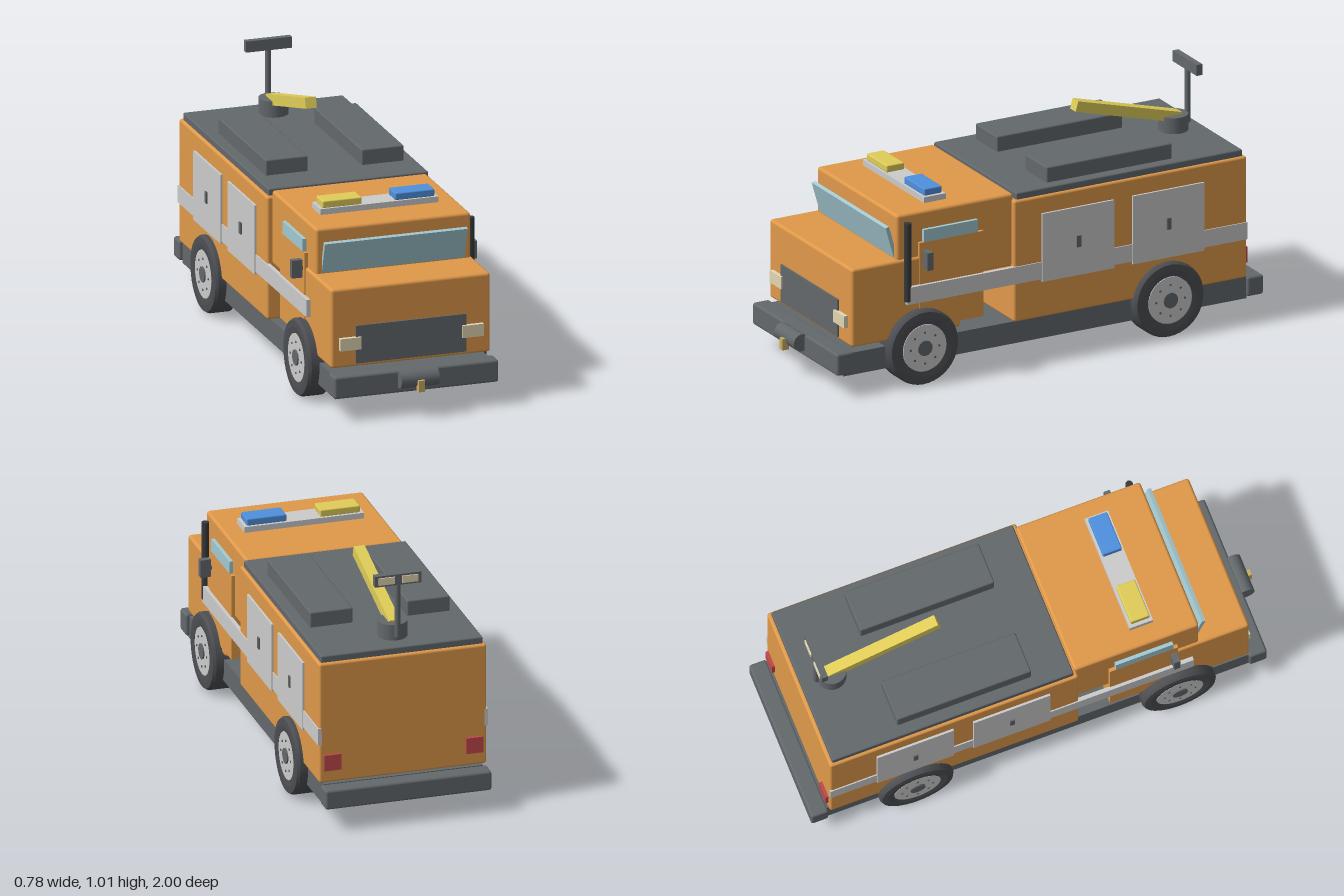
import * as THREE from 'three';
import { RoundedBoxGeometry } from 'three/addons/geometries/RoundedBoxGeometry.js';

const mat = (color) => new THREE.MeshStandardMaterial({ color });
const M = {
  orange: mat(0xe0994a), dark: mat(0x63686c), tyre: mat(0x4c4e52), black: mat(0x36383b),
  light: mat(0xcccccc), glass: mat(0xa3c9d1), blue: mat(0x4f90dd), yellow: mat(0xe0cd58),
  cream: mat(0xe2d7b4), brass: mat(0xc9ac62), red: mat(0xc0484a),
};

export function createModel() {
  const model = new THREE.Group();

  const add = (name, geometry, material, parent = model) => {
    const mesh = new THREE.Mesh(geometry, material);
    mesh.name = name;
    parent.add(mesh);
    return mesh;
  };

  // Box given by its extents on each axis; r rounds the edges
  const box = (name, material, [x0, x1], [y0, y1], [z0, z1], r = 0) => {
    const s = [x1 - x0, y1 - y0, z1 - z0];
    const g = r ? new RoundedBoxGeometry(...s, 2, r) : new THREE.BoxGeometry(...s);
    const mesh = add(name, g, material);
    mesh.position.set((x0 + x1) / 2, (y0 + y1) / 2, (z0 + z1) / 2);
    return mesh;
  };

  // The same box on both flanks
  const pair = (name, material, [x0, x1], y, z, r = 0) => {
    box(name + 'Left', material, [x0, x1], y, z, r);
    box(name + 'Right', material, [-x1, -x0], y, z, r);
  };

  const cylinder = (name, material, r, h, x, y, z, sides = 24) => {
    const mesh = add(name, new THREE.CylinderGeometry(r, r, h, sides), material);
    mesh.position.set(x, y, z);
    return mesh;
  };

  // Chassis and bumpers
  box('chassis', M.dark, [-0.33, 0.33], [0.085, 0.178], [-0.93, 0.9]);
  box('frontBumper', M.dark, [-0.345, 0.345], [0.095, 0.187], [0.862, 0.937], 0.01);
  box('rearBumper', M.dark, [-0.345, 0.345], [0.095, 0.177], [-1, -0.927], 0.01);

  // Winch drum and hook
  cylinder('winchDrum', M.dark, 0.036, 0.16, 0, 0.155, 0.95).rotation.z = Math.PI / 2;
  box('winchHook', M.brass, [-0.013, 0.013], [0.11, 0.157], [0.97, 1]);

  // Bonnet, cab and rear body
  box('bonnet', M.orange, [-0.335, 0.335], [0.2, 0.53], [0.37, 0.865], 0.012);
  box('cabLower', M.orange, [-0.325, 0.325], [0.235, 0.5], [0.27, 0.6]);
  box('cabUpper', M.orange, [-0.325, 0.325], [0.41, 0.717], [0.125, 0.655], 0.012);
  box('rearBody', M.orange, [-0.348, 0.348], [0.18, 0.692], [-0.922, 0.135], 0.01);
  box('roofDeck', M.dark, [-0.336, 0.336], [0.685, 0.72], [-0.908, 0.118], 0.006);

  // Front details
  box('grille', M.dark, [-0.232, 0.232], [0.215, 0.372], [0.855, 0.873]);
  pair('headlight', M.cream, [0.212, 0.302], [0.275, 0.326], [0.855, 0.882]);
  const windshield = box('windshield', M.glass, [-0.3, 0.3], [0.525, 0.668], [0.657, 0.673]);
  windshield.rotation.x = 0.28;

  // Doors, side windows, mirrors
  pair('cabDoor', M.orange, [0.32, 0.34], [0.23, 0.59], [0.27, 0.56]);
  pair('sideWindow', M.glass, [0.32, 0.34], [0.59, 0.642], [0.295, 0.54]);
  pair('mirrorArm', M.dark, [0.33, 0.36], [0.515, 0.53], [0.53, 0.546]);
  pair('mirror', M.dark, [0.345, 0.388], [0.486, 0.56], [0.525, 0.551]);

  // Lockers and stripe along the flanks
  pair('sideStripe', M.light, [0.336, 0.353], [0.343, 0.415], [-0.922, 0.622]);
  for (const z of [-0.152, -0.562]) {
    pair('locker', M.light, [0.34, 0.357], [0.332, 0.62], [z - 0.163, z + 0.163]);
    pair('lockerHandle', M.dark, [0.355, 0.363], [0.452, 0.5], [z - 0.01, z + 0.01]);
  }
  cylinder('airIntake', M.black, 0.015, 0.33, 0.34, 0.52, 0.615, 16);
  pair('tailLight', M.red, [0.26, 0.33], [0.235, 0.302], [-0.935, -0.915]);

  // Warning light bar
  box('lightBar', M.light, [-0.248, 0.248], [0.715, 0.741], [0.39, 0.489]);
  box('blueLamp', M.blue, [0.07, 0.235], [0.74, 0.77], [0.4, 0.48], 0.005);
  box('yellowLamp', M.yellow, [-0.235, -0.07], [0.74, 0.77], [0.4, 0.48], 0.005);

  // Roof lockers
  pair('roofLocker', M.dark, [0.113, 0.29], [0.715, 0.784], [-0.615, -0.045], 0.006);

  // Turret with raised boom
  cylinder('turret', M.dark, 0.06, 0.07, 0, 0.752, -0.782, 32);
  const boom = box('boom', M.yellow, [-0.023, 0.023], [0.816, 0.86], [-0.813, -0.323]);
  boom.rotation.x = -0.27;

  // Floodlight mast, lamps facing the rear
  cylinder('mast', M.dark, 0.012, 0.24, 0, 0.86, -0.847, 16);
  box('floodlightPanel', M.dark, [-0.097, 0.097], [0.966, 1.012], [-0.86, -0.834]);
  pair('floodlight', M.cream, [0.015, 0.082], [0.974, 1.004], [-0.865, -0.855]);

  // Wheels: the lathe axis is turned to point outwards
  const profile = [[0.09, -0.05], [0.148, -0.05], [0.157, -0.042], [0.157, 0.036],
    [0.15, 0.048], [0.125, 0.05], [0.1, 0.047], [0.095, 0.03]];
  // Doubling the inner points keeps the tread edges crisp
  const points = profile.flatMap(([r, y], i) =>
    Array(i && i < profile.length - 1 ? 2 : 1).fill(0).map(() => new THREE.Vector2(r, y)));
  const tyreGeometry = new THREE.LatheGeometry(points, 40);
  const wheel = (name, side, z) => {
    const group = new THREE.Group();
    group.name = name;
    add('tyre', tyreGeometry, M.tyre, group);
    const rim = add('rim', new THREE.CylinderGeometry(0.098, 0.098, 0.096, 32), M.light, group);
    rim.position.y = -0.001;
    const hub = add('hub', new THREE.CylinderGeometry(0.032, 0.032, 0.02, 20), M.dark, group);
    hub.position.y = 0.043;
    for (let i = 0; i < 8; i++) {
      const a = (i / 8) * Math.PI * 2;
      const bolt = add('bolt', new THREE.CylinderGeometry(0.005, 0.005, 0.008, 8), M.dark, group);
      bolt.position.set(Math.cos(a) * 0.065, 0.046, Math.sin(a) * 0.065);
    }
    group.rotation.z = -side * Math.PI / 2;
    group.position.set(side * 0.326, 0.157, z);
    model.add(group);
  };
  for (const side of [1, -1]) {
    wheel('frontWheel', side, 0.555);
    wheel('rearWheel', side, -0.56);
  }

  return model;
}
